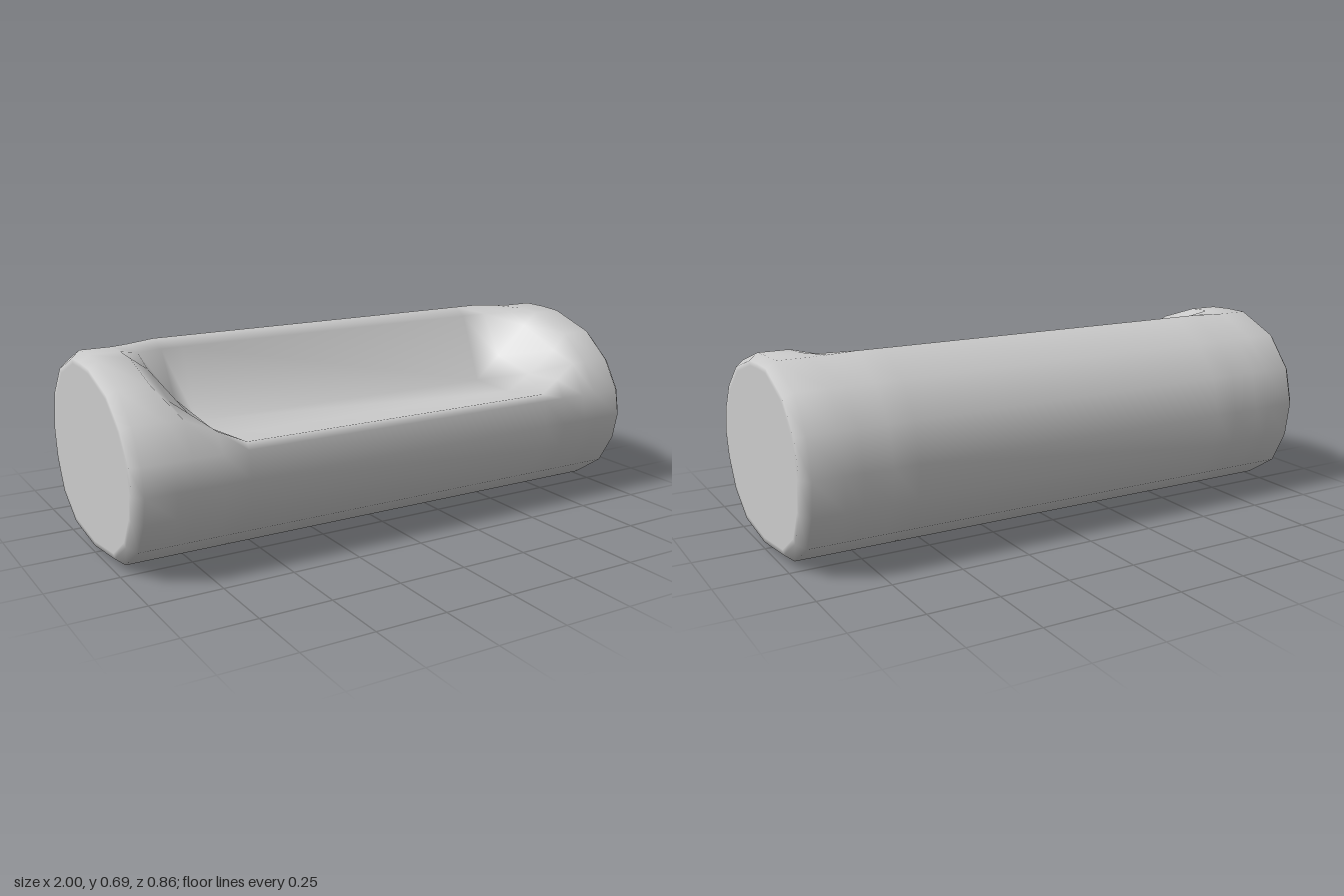
import * as THREE from 'three';

// Cross-section as [z, y], starting at the bottom and going up the front
const FRONT = [[0, 0.005], [0.22, 0.03], [0.345, 0.115], [0.41, 0.225], [0.43, 0.32], [0.413, 0.415]];
const BACK = [[-0.3, 0.61], [-0.395, 0.495], [-0.428, 0.36], [-0.41, 0.235], [-0.35, 0.115], [-0.22, 0.03]];

// The part of the section that changes along the length: front lip, floor, wall, ridge
const ROUND = [[0.345, 0.525], [0.23, 0.618], [0.05, 0.675], [-0.04, 0.68], [-0.135, 0.68]];
const RIM = [[0.345, 0.525], [0.23, 0.56], [0.05, 0.63], [-0.04, 0.67], [-0.14, 0.683]];
const SLOPE = [[0.375, 0.48], [0.21, 0.47], [0.02, 0.51], [-0.08, 0.665], [-0.155, 0.69]];
const SCOOP = [[0.4, 0.44], [0.2, 0.41], [0, 0.415], [-0.105, 0.66], [-0.155, 0.69]];

// Half the length, from the middle out to the cap: x, top profile, scale
const HALF = [
  [0.61, SCOOP, 1], [0.7, SLOPE, 1], [0.8, RIM, 1], [0.86, ROUND, 1],
  [0.97, ROUND, 1], [1, ROUND, 0.93], [1, ROUND, 0.88], [1, ROUND, 0],
];

function createBody() {
  const mirrored = HALF.map(([x, top, s]) => [-x, top, s]).reverse();
  const stations = [...mirrored, ...HALF];
  const positions = [];
  const index = [];
  const n = FRONT.length + ROUND.length + BACK.length;
  const centreY = 0.345;

  for (const [x, top, s] of stations) {
    for (const [z, y] of [...FRONT, ...top, ...BACK]) {
      positions.push(x, centreY + (y - centreY) * s, z * s);
    }
  }
  for (let i = 0; i < stations.length - 1; i++) {
    for (let j = 0; j < n; j++) {
      const a = i * n + j;
      const b = i * n + (j + 1) % n;
      // The cap centres collapse to a point, so skip the empty triangles there
      if (stations[i][2] > 0) index.push(a, a + n, b);
      if (stations[i + 1][2] > 0) index.push(b, a + n, b + n);
    }
  }

  const geometry = new THREE.BufferGeometry();
  geometry.setAttribute('position', new THREE.Float32BufferAttribute(positions, 3));
  geometry.setIndex(index);
  geometry.computeVertexNormals();
  // Flat normals on the middle of the caps
  const normal = geometry.attributes.normal;
  stations.forEach(([x, , s], i) => {
    if (s > 0.9) return;
    for (let j = 0; j < n; j++) normal.setXYZ(i * n + j, Math.sign(x), 0, 0);
  });
  return geometry;
}

export function createModel() {
  const group = new THREE.Group();
  group.name = 'scoopedBar';
  const material = new THREE.MeshStandardMaterial({ color: 0xcccccc });
  const body = new THREE.Mesh(createBody(), material);
  body.name = 'body';
  group.add(body);
  return group;
}
